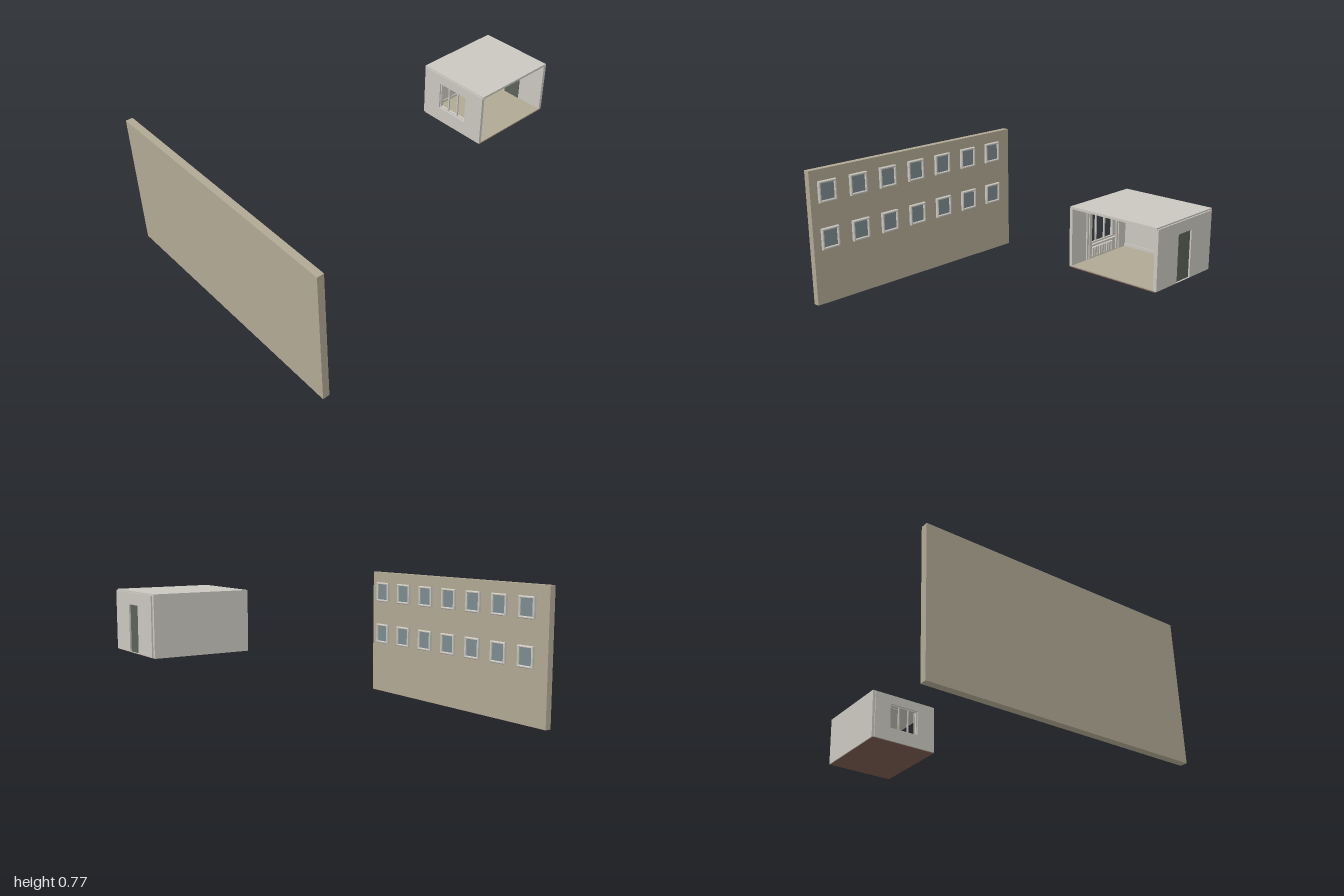
import * as THREE from 'three';

const mat = (name, color) => {
  const m = new THREE.MeshStandardMaterial({ color });
  m.name = name;
  return m;
};

export function createModel() {
  const model = new THREE.Group();
  model.name = 'roomAndFacade';
  const stone = mat('tanStone', 0xb0a893);
  const plaster = mat('palePlaster', 0xcac7bf);
  const glass = mat('blueGreyGlass', 0x7b8a8f);
  const doorGreen = mat('darkGreenDoor', 0x5b6158);
  const brown = mat('brownUnderside', 0x7a5c50);

  // Box given by its minimum and maximum corners
  const box = (parent, name, material, [x0, y0, z0], [x1, y1, z1]) => {
    const mesh = new THREE.Mesh(new THREE.BoxGeometry(x1 - x0, y1 - y0, z1 - z0), material);
    mesh.position.set((x0 + x1) / 2, (y0 + y1) / 2, (z0 + z1) / 2);
    mesh.name = name;
    parent.add(mesh);
    return mesh;
  };

  // Rectangle in the z-y plane, to be extruded along x
  const rect = (Type, z0, y0, z1, y1) => {
    const p = new Type();
    p.moveTo(-z1, y0);
    p.lineTo(-z0, y0);
    p.lineTo(-z0, y1);
    p.lineTo(-z1, y1);
    p.closePath();
    return p;
  };
  const pierced = (outer, hole, depth, bevel = 0) => {
    const shape = rect(THREE.Shape, ...outer);
    shape.holes.push(rect(THREE.Path, ...hole));
    return new THREE.ExtrudeGeometry(shape, {
      depth, bevelEnabled: bevel > 0, bevelSize: bevel, bevelThickness: bevel, bevelSegments: 1,
    }).rotateY(Math.PI / 2);
  };

  // Facade slab with two rows of seven framed windows
  const facade = new THREE.Group();
  facade.name = 'facade';
  model.add(facade);
  box(facade, 'facadeWall', stone, [-1, 0, -0.758], [-0.962, 0.772, 0.758]);
  const frameGeo = pierced([-0.054, -0.057, 0.054, 0.057], [-0.052, -0.055, 0.052, 0.055].map((v) => v * 0.99), 0.013, 0.004);
  const frameSolid = pierced([-0.054, -0.057, 0.054, 0.057], [-0.049, -0.052, 0.049, 0.052], 0.013, 0.004);
  frameGeo.dispose();
  for (const y of [0.378, 0.646]) {
    for (let i = 0; i < 7; i++) {
      const z = 0.65 - i * 0.209;
      const frame = new THREE.Mesh(frameSolid, plaster);
      frame.name = 'windowFrame';
      frame.position.set(-0.962, y, z);
      facade.add(frame);
      box(facade, 'windowPane', glass, [-0.963, y - 0.053, z - 0.05], [-0.955, y + 0.053, z + 0.05]);
    }
  }

  // Raised room, open at the front
  const room = new THREE.Group();
  room.name = 'room';
  model.add(room);
  box(room, 'floorBase', brown, [0.493, 0.468, -0.125], [0.993, 0.472, 0.298]);
  box(room, 'floor', stone, [0.5, 0.472, -0.112], [0.985, 0.477, 0.298]);
  box(room, 'roof', plaster, [0.493, 0.758, -0.13], [0.993, 0.77, 0.3]);
  box(room, 'backWall', plaster, [0.493, 0.469, -0.13], [0.993, 0.759, -0.112]);

  // Side walls pierced by the door and the window
  const doorWall = new THREE.Mesh(pierced([-0.114, 0.472, 0.297, 0.763], [0.04, 0.473, 0.142, 0.705], 0.018), plaster);
  doorWall.name = 'doorWall';
  doorWall.position.x = 0.982;
  room.add(doorWall);
  const windowWall = new THREE.Mesh(pierced([-0.114, 0.472, 0.297, 0.763], [-0.01, 0.555, 0.18, 0.71], 0.016), plaster);
  windowWall.name = 'windowWall';
  windowWall.position.x = 0.488;
  room.add(windowWall);

  // Door leaf set back in its opening
  box(room, 'door', doorGreen, [0.979, 0.473, 0.04], [0.992, 0.705, 0.142]);

  // Open window: casing, sill and upright bars
  const casing = new THREE.Mesh(pierced([-0.016, 0.549, 0.186, 0.716], [-0.004, 0.561, 0.174, 0.704], 0.01), plaster);
  casing.name = 'windowCasing';
  casing.position.x = 0.497;
  room.add(casing);
  box(room, 'windowSill', plaster, [0.5, 0.545, -0.022], [0.52, 0.553, 0.192]);
  for (const z of [0.053, 0.117]) {
    box(room, 'windowBar', plaster, [0.495, 0.56, z - 0.004], [0.503, 0.706, z + 0.004]);
  }

  // Curtains on either side of the window, hung in narrow folds
  for (const z0 of [-0.05, 0.175]) {
    for (let i = 0; i < 3; i++) {
      const x = 0.518 + (i % 2) * 0.005;
      box(room, 'curtainFold', plaster, [x, 0.49, z0 + i * 0.012], [x + 0.007, 0.742, z0 + i * 0.012 + 0.012]);
    }
  }
  box(room, 'curtainRail', plaster, [0.518, 0.742, -0.06], [0.53, 0.75, 0.222]);

  // Radiator under the window
  for (let i = 0; i < 9; i++) {
    const z = 0.005 + i * 0.018;
    box(room, 'radiatorFin', plaster, [0.504, 0.49, z], [0.52, 0.536, z + 0.012]);
  }
  box(room, 'radiatorCore', plaster, [0.506, 0.494, 0.005], [0.514, 0.532, 0.161]);

  // Skirting along the back wall and two small ceiling lights
  box(room, 'skirting', plaster, [0.504, 0.477, -0.112], [0.982, 0.492, -0.107]);
  for (const x of [0.62, 0.86]) {
    box(room, 'ceilingLight', plaster, [x - 0.008, 0.754, 0.06], [x + 0.008, 0.758, 0.12]);
  }

  return model;
}
